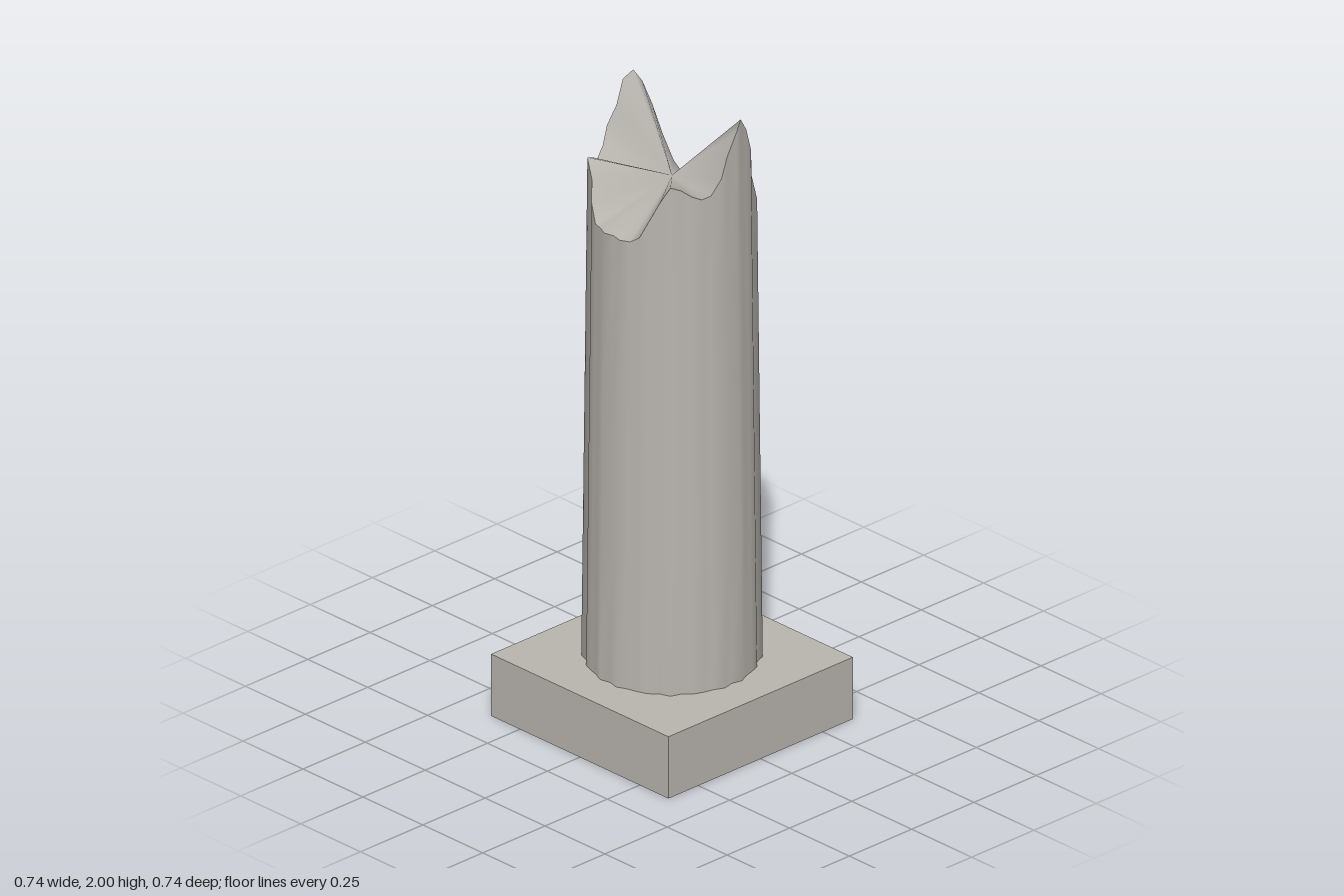
import * as THREE from 'three';

const SEGMENTS = 48;
const BASE_TOP = 0.2;

// Height of the broken rim, from the back (-90 deg) round to the front (+90 deg) in 7.5 deg steps
const RIM = [
  1.68, 1.69, 1.68, 1.64, 1.64, 1.64, 1.68, 1.77, 1.87, 1.95, 1.995, 1.97, 1.9,
  1.84, 1.79, 1.785, 1.8, 1.82, 1.835, 1.78, 1.72, 1.66, 1.64, 1.64, 1.64,
];

// Both halves share the profile; the front horn on the -x side is a little lower
function rimHeight(i) {
  if (i <= 24) return RIM[i];
  const k = SEGMENTS - i;
  return k > 14 ? Math.max(1.64, RIM[k] - 0.025) : RIM[k];
}

// Shallow flutes on a slightly tapering shaft
function shaftPoint(i, y) {
  const a = -Math.PI / 2 + (i / SEGMENTS) * Math.PI * 2;
  const flute = 0.2625 - 0.0135 * Math.abs(Math.cos(10 * a));
  const r = flute * (1 - 0.042 * (y - BASE_TOP));
  return [r * Math.cos(a), y, r * Math.sin(a)];
}

function smoothGeometry(positions, index) {
  const g = new THREE.BufferGeometry();
  g.setAttribute('position', new THREE.Float32BufferAttribute(positions, 3));
  g.setIndex(index);
  g.computeVertexNormals();
  return g;
}

// Fluted wall: level rings, then the jagged rim
function wallGeometry() {
  const levels = [BASE_TOP, 0.65, 1.1, 1.54];
  const positions = [];
  const index = [];
  for (let row = 0; row <= levels.length; row++) {
    for (let i = 0; i < SEGMENTS; i++) {
      positions.push(...shaftPoint(i, row < levels.length ? levels[row] : rimHeight(i)));
    }
  }
  for (let row = 0; row < levels.length; row++) {
    for (let i = 0; i < SEGMENTS; i++) {
      const j = (i + 1) % SEGMENTS;
      const a = row * SEGMENTS + i;
      const b = row * SEGMENTS + j;
      index.push(a, a + SEGMENTS, b, b, a + SEGMENTS, b + SEGMENTS);
    }
  }
  return smoothGeometry(positions, index);
}

// Broken face: a fan from the rim to the centre
function breakGeometry() {
  const positions = [0, 1.755, 0];
  const index = [];
  for (let i = 0; i < SEGMENTS; i++) {
    positions.push(...shaftPoint(i, rimHeight(i)));
    index.push(0, 1 + ((i + 1) % SEGMENTS), 1 + i);
  }
  return smoothGeometry(positions, index);
}

export function createModel() {
  const stone = new THREE.MeshStandardMaterial({ color: 0xb8b4ae });
  stone.name = 'stone';
  const model = new THREE.Group();
  model.name = 'brokenColumn';

  const add = (name, geometry) => {
    const mesh = new THREE.Mesh(geometry, stone);
    mesh.name = name;
    model.add(mesh);
    return mesh;
  };

  add('plinth', new THREE.BoxGeometry(0.74, BASE_TOP, 0.74)).position.y = BASE_TOP / 2;
  add('shaft', wallGeometry());
  add('brokenTop', breakGeometry());
  return model;
}
